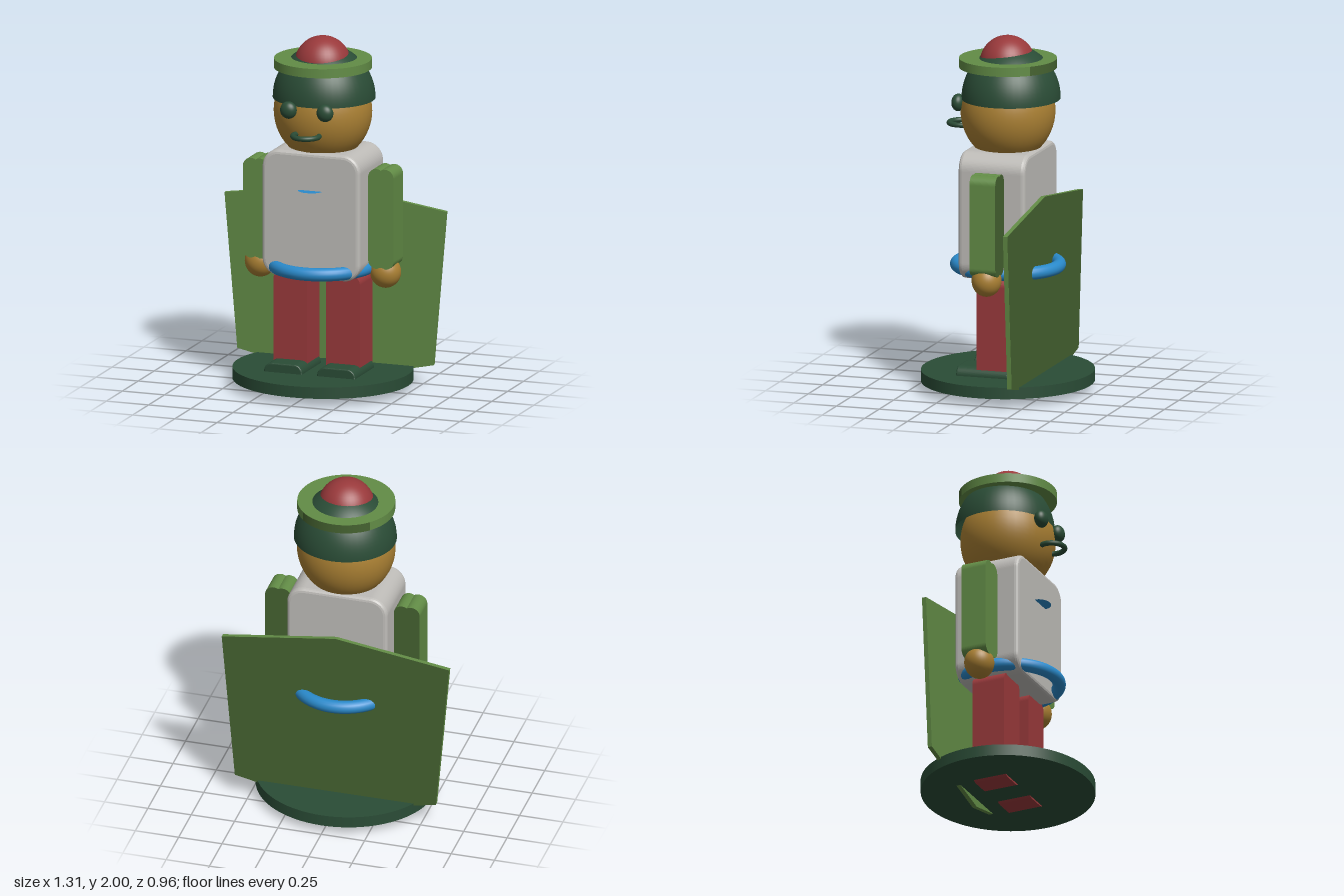
import * as THREE from 'three';

const mat = (name, color, side = THREE.FrontSide) => {
  const m = new THREE.MeshStandardMaterial({ color, side });
  m.name = name;
  return m;
};

// Rounded rectangle outline centred on the origin
function roundedRect(w, h, r) {
  const s = new THREE.Shape(), x = w / 2, y = h / 2;
  s.absarc(x - r, y - r, r, 0, Math.PI / 2);
  s.absarc(-x + r, y - r, r, Math.PI / 2, Math.PI);
  s.absarc(-x + r, -y + r, r, Math.PI, Math.PI * 1.5);
  s.absarc(x - r, -y + r, r, Math.PI * 1.5, Math.PI * 2);
  s.closePath();
  return s;
}

// Extrusion along z, centred, with an optional bevel inside the given depth
function slab(shape, depth, bevel = 0) {
  const g = new THREE.ExtrudeGeometry(shape, {
    depth: depth - 2 * bevel, bevelEnabled: bevel > 0, bevelSize: bevel,
    bevelThickness: bevel, bevelOffset: -bevel, bevelSegments: 3, curveSegments: 10,
  });
  return g.translate(0, 0, -depth / 2 + bevel);
}

// Flat face of a symmetric outline, turned to the rear
const rearFace = (shape) => new THREE.ShapeGeometry(shape, 10).rotateY(Math.PI);

export function createModel() {
  const model = new THREE.Group();
  model.name = 'toySoldier';
  const leaf = mat('leafGreen', 0x628c46);
  const olive = mat('rearOliveGreen', 0x456230);
  const dark = mat('darkGreen', 0x2a4c36, THREE.DoubleSide);
  const skin = mat('ochreSkin', 0xaa8033);
  const grey = mat('warmGrey', 0xbebcb8);
  const blue = mat('blue', 0x2a8acb, THREE.DoubleSide);
  const red = mat('red', 0x99393b);

  const add = (name, geo, material, x, y, z) => {
    const m = new THREE.Mesh(geo, material);
    m.name = name;
    m.position.set(x, y, z);
    model.add(m);
    return m;
  };
  const ball = (rx, ry, rz) => new THREE.SphereGeometry(1, 40, 28).scale(rx, ry, rz);

  // Oval stand
  add('stand', new THREE.CylinderGeometry(1, 1, 0.065, 72).scale(0.505, 1, 0.48), dark, 0, 0.078, 0);

  // Six-sided cape board with a darker rear
  const cape = new THREE.Shape([
    [0, 0], [0.58, 0.125], [0.656, 1.007], [0, 1.101], [-0.656, 1.007], [-0.58, 0.125],
  ].map(([x, y]) => new THREE.Vector2(x, y)));
  add('cape', slab(cape, 0.025), leaf, 0, 0, -0.204);
  add('capeRear', rearFace(cape), olive, 0, 0, -0.2175);

  // Torso, belt and chest badge
  add('torso', slab(roundedRect(0.58, 0.72, 0.1), 0.39, 0.022), grey, 0, 1.015, 0.002);
  add('belt', new THREE.TorusGeometry(0.286, 0.037, 18, 72).rotateX(Math.PI / 2).scale(0.965, 1, 1), blue, 0, 0.705, 0);
  const badge = new THREE.CircleGeometry(1, 24, Math.PI, Math.PI);
  add('chestBadge', badge.scale(0.07, 0.06, 1).rotateX(-Math.PI / 2), blue, 0, 1.16, 0.196);

  // Arm outline: straight sides, twin rounded humps at both ends
  const arm = new THREE.Shape();
  const hw = 0.075, hh = 0.285, r = 0.049;
  arm.absarc(hw - r, hh - r, r, 0, Math.PI * 0.68);
  arm.absarc(-hw + r, hh - r, r, Math.PI * 0.32, Math.PI);
  arm.absarc(-hw + r, -hh + r, r, Math.PI, Math.PI * 1.68);
  arm.absarc(hw - r, -hh + r, r, Math.PI * 1.32, Math.PI * 2);
  arm.closePath();

  // Foot outline: flat below, rounded shoulders above
  const foot = new THREE.Shape();
  foot.moveTo(-0.113, 0.065);
  foot.lineTo(0.113, 0.065);
  foot.lineTo(0.113, 0.115);
  foot.absarc(0.065, 0.114, 0.048, 0, Math.PI / 2);
  foot.absarc(-0.065, 0.114, 0.048, Math.PI / 2, Math.PI);
  foot.closePath();

  for (const [side, s] of [['left', 1], ['right', -1]]) {
    add(side + 'Arm', slab(arm, 0.15), leaf, s * 0.371, 1.001, 0);
    add(side + 'ArmRear', rearFace(arm), olive, s * 0.371, 1.001, -0.076);
    add(side + 'Hand', ball(0.087, 0.09, 0.083), skin, s * 0.371, 0.686, 0);
    add(side + 'Leg', slab(roundedRect(0.199, 0.635, 0.05), 0.196), red, s * 0.156, 0.353, 0);
    add(side + 'Foot', slab(foot, 0.305, 0.008), dark, s * 0.157, 0, 0.062);
    add(side + 'Eye', ball(0.048, 0.049, 0.037), dark, s * 0.108, 1.625, 0.255);
  }

  // Head and protruding curved mouth
  add('head', ball(0.275, 0.285, 0.262), skin, 0, 1.577, 0);
  const mouth = new THREE.TorusGeometry(0.073, 0.015, 12, 32, Math.PI + 0.8);
  add('mouth', mouth.rotateZ(-0.4).rotateX(Math.PI / 2), dark, 0, 1.488, 0.267);

  // Cap dome with brim disc and pompom
  const dome = new THREE.SphereGeometry(1, 48, 20, 0, Math.PI * 2, 0, Math.PI / 2);
  add('capDome', dome.scale(0.287, 0.297, 0.274), dark, 0, 1.647, -0.018);
  add('capBrim', new THREE.CylinderGeometry(0.272, 0.272, 0.052, 64), leaf, 0, 1.849, 0);
  const brimRear = new THREE.CylinderGeometry(0.273, 0.273, 0.052, 16, 1, true, Math.PI * 0.75, Math.PI / 2);
  add('capBrimRear', brimRear, olive, 0, 1.849, 0);
  add('pompom', ball(0.158, 0.158, 0.155), red, 0, 1.842, 0.003);

  return model;
}
